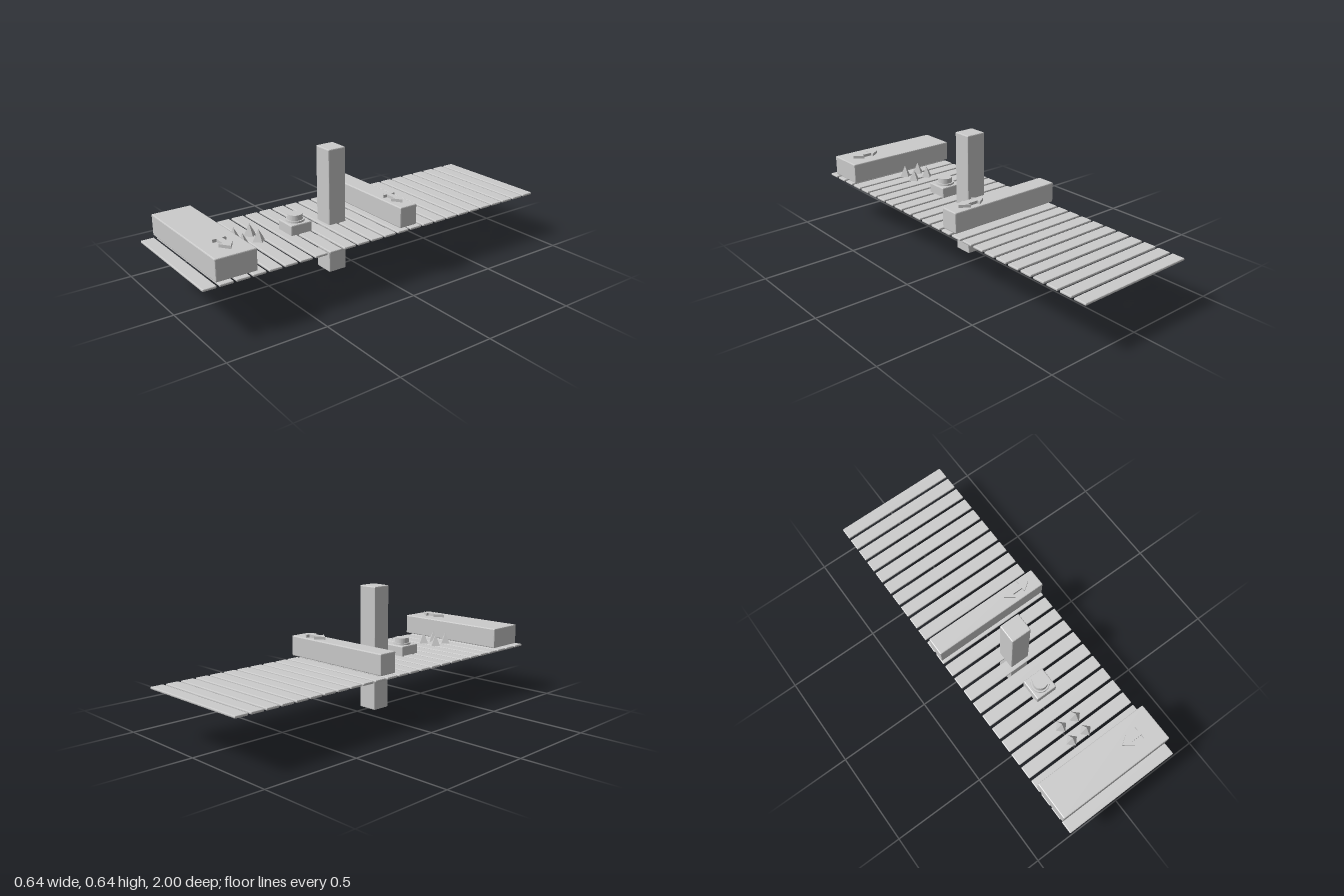
import * as THREE from 'three';
import { RoundedBoxGeometry } from 'three/addons/geometries/RoundedBoxGeometry.js';

const grey = new THREE.MeshStandardMaterial({ color: 0xcccccc, flatShading: true });

function add(parent, name, geometry, x, y, z) {
  const mesh = new THREE.Mesh(geometry, grey);
  mesh.name = name;
  mesh.position.set(x, y, z);
  parent.add(mesh);
  return mesh;
}

// Chamfered box given by its extents in y and z, centred on x
function block(parent, name, width, y0, y1, z0, z1, chamfer = 0.005) {
  const geometry = new RoundedBoxGeometry(width, y1 - y0, z1 - z0, 1, chamfer);
  return add(parent, name, geometry, 0, (y0 + y1) / 2, (z0 + z1) / 2);
}

// Flat double-headed arrow lying on a block
function arrowGeometry() {
  const tip = 0.077, neck = 0.028, head = 0.034, shaft = 0.014;
  const outline = [
    [tip, 0], [neck, head], [neck, shaft], [-neck, shaft], [-neck, head],
    [-tip, 0], [-neck, -head], [-neck, -shaft], [neck, -shaft], [neck, -head],
  ];
  const shape = new THREE.Shape(outline.map(([x, y]) => new THREE.Vector2(x, y)));
  return new THREE.ExtrudeGeometry(shape, { depth: 0.018, bevelEnabled: false }).rotateX(-Math.PI / 2);
}

export function createModel() {
  const model = new THREE.Group();
  model.name = 'obstacleWalkway';

  // Walkway of separate planks
  const walkway = new THREE.Group();
  walkway.name = 'walkway';
  model.add(walkway);
  const count = 25, depth = 0.067, pitch = (2 - depth) / (count - 1);
  for (let i = 0; i < count; i++) {
    const z = -1 + i * pitch;
    block(walkway, 'plank', 0.643, 0.245, 0.257, z, z + depth, 0.004);
  }

  // Sliding blocks, each with an arrow on top
  const arrow = arrowGeometry();
  for (const [name, z0, z1] of [['frontSlidingBlock', 0.734, 0.936], ['rearSlidingBlock', -0.161, -0.06]]) {
    const slider = new THREE.Group();
    slider.name = name;
    model.add(slider);
    block(slider, 'slidingBlock', 0.641, 0.27, 0.377, z0, z1);
    add(slider, 'directionArrow', arrow, 0.19, 0.374, (z0 + z1) / 2 - 0.005);
  }

  // Tall post passing through the walkway
  block(model, 'post', 0.108, 0, 0.645, 0.074, 0.174);

  // Push button on a square base
  const button = new THREE.Group();
  button.name = 'button';
  model.add(button);
  block(button, 'buttonBase', 0.118, 0.229, 0.308, 0.28, 0.398);
  add(button, 'buttonCollar', new THREE.CylinderGeometry(0.046, 0.05, 0.03, 32), 0, 0.302, 0.339);
  add(button, 'buttonCap', new THREE.CylinderGeometry(0.036, 0.039, 0.036, 32), 0, 0.325, 0.339);

  // Two by two cluster of spikes
  const spikes = new THREE.Group();
  spikes.name = 'spikes';
  model.add(spikes);
  const spike = new THREE.ConeGeometry(0.033, 0.06, 4);
  for (const x of [-0.043, 0.043]) {
    for (const z of [0.569, 0.654]) add(spikes, 'spike', spike, x, 0.302, z);
  }

  return model;
}
